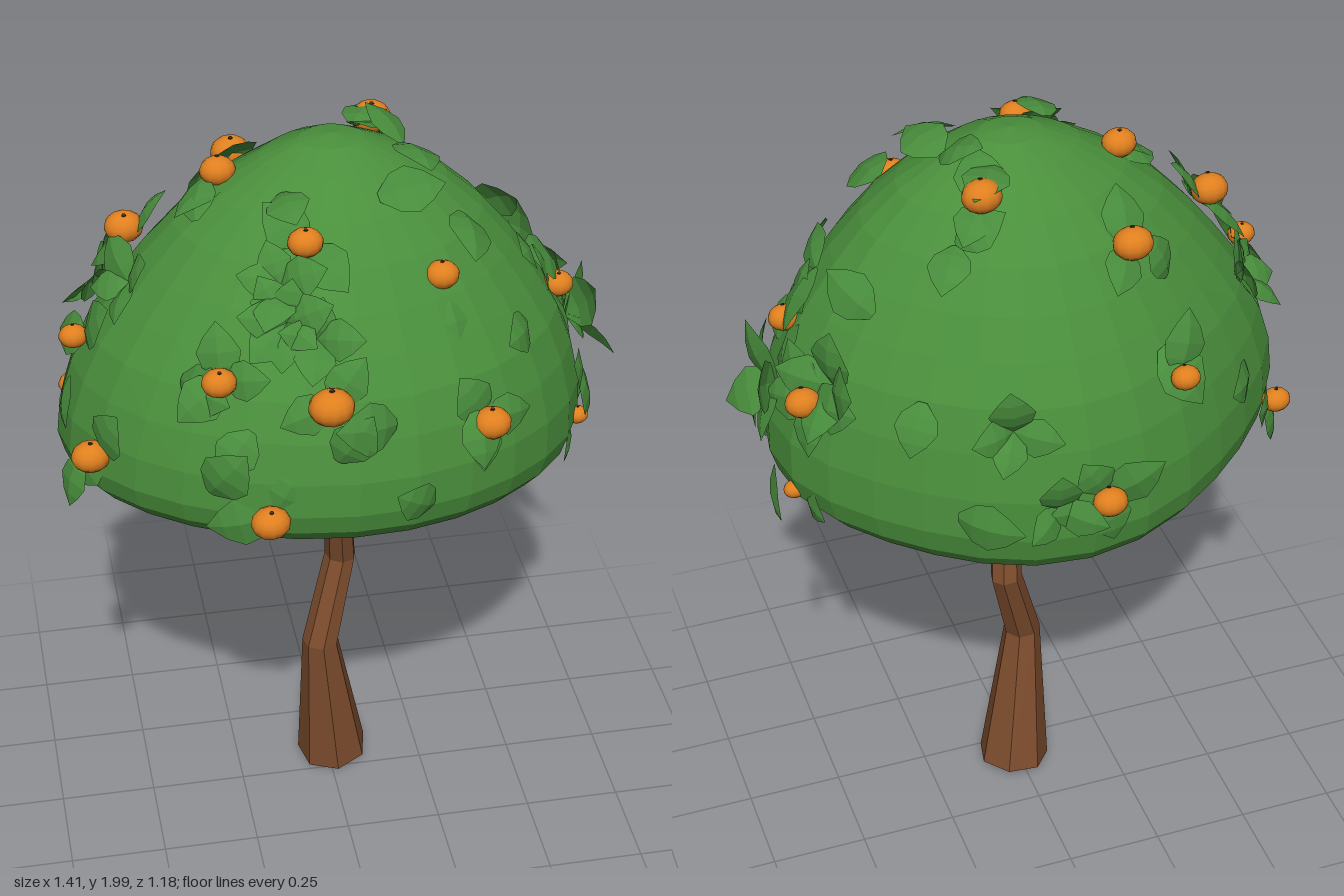
import * as THREE from 'three';

const mat = (name, color, extra = {}) => {
  const m = new THREE.MeshStandardMaterial({ color, ...extra });
  m.name = name;
  return m;
};

// Canopy profile: [relative radius, height], from the underside to the crown
const PROFILE = [[0, 1.1], [0.5, 1.085], [0.82, 1.075], [0.92, 1.09], [0.975, 1.13], [1, 1.19], [0.99, 1.29], [0.945, 1.4],
  [0.88, 1.5], [0.79, 1.59], [0.69, 1.68], [0.57, 1.77], [0.43, 1.85], [0.26, 1.92], [0.12, 1.96], [0, 1.97]];

// Stretch the round canopy to an oval, slim its back corners and tilt its underside
function warp(v) {
  const low = 1 - (v.y - 1.1) / 0.87;
  const corner = Math.sin(2 * Math.atan2(v.x, v.z)) ** 2;
  const slim = 1 - (v.z < 0 ? 0.065 : 0.02) * corner;
  v.x = v.x * 0.66 * slim - 0.035 * low;
  v.z *= 0.54 * slim;
  v.y += low * low * (0.115 * v.z - 0.035 * v.x);
  return v;
}

// Point on the canopy: angle in degrees (0 front, 90 left, 180 back) and height
function onCanopy(deg, y) {
  let i = 5;
  while (i < PROFILE.length - 2 && PROFILE[i + 1][1] < y) i++;
  const [r0, y0] = PROFILE[i], [r1, y1] = PROFILE[i + 1];
  const r = THREE.MathUtils.lerp(r0, r1, THREE.MathUtils.clamp((y - y0) / (y1 - y0), 0, 1));
  const a = THREE.MathUtils.degToRad(deg);
  return warp(new THREE.Vector3(r * Math.sin(a), y, r * Math.cos(a)));
}

const outward = (p) => new THREE.Vector3(
  (p.x + 0.02) / 0.44, Math.max(-0.05, p.y - 1.2) / 0.6, p.z / 0.29).normalize();

// Faceted limb through a few points with a radius at each
function limb(points, radii, sides) {
  const pts = points.map((p) => new THREE.Vector3(...p));
  const n = pts.length - 1;
  const up = new THREE.Vector3(0, 1, 0);
  const turns = pts.map((p, i) => new THREE.Quaternion().setFromUnitVectors(up,
    pts[Math.min(i + 1, n)].clone().sub(pts[Math.max(i - 1, 0)]).normalize()));
  const g = new THREE.CylinderGeometry(1, 1, 1, sides, n);
  const pos = g.attributes.position, v = new THREE.Vector3();
  for (let k = 0; k < pos.count; k++) {
    v.fromBufferAttribute(pos, k);
    const i = Math.round((v.y + 0.5) * n);
    v.y = 0;
    v.multiplyScalar(radii[i]).applyQuaternion(turns[i]).add(pts[i]);
    pos.setXYZ(k, v.x, v.y, v.z);
  }
  g.computeVertexNormals();
  return g;
}

// Unit leaf: broad, grows along +z, folded along the midrib and drooping at the tip
function leafGeometry() {
  const g = new THREE.PlaneGeometry(1, 1, 2, 4);
  const pos = g.attributes.position, widths = [0.08, 0.33, 0.4, 0.25, 0];
  for (let k = 0; k < pos.count; k++) {
    const t = pos.getY(k) + 0.5, w = widths[Math.round(t * 4)];
    const x = pos.getX(k) * 2 * w;
    pos.setXYZ(k, x, 0.3 * t - 0.5 * t * t - 0.2 * Math.abs(x), t);
  }
  g.computeVertexNormals();
  return g;
}

export function createModel() {
  const tree = new THREE.Group();
  tree.name = 'fruitTree';
  const bark = mat('bark brown', 0x7c4c2d, { flatShading: true });
  const foliage = mat('canopy green', 0x4a8f3c, { flatShading: true });
  const leafGreen = mat('leaf green', 0x488c3c, { flatShading: true, side: THREE.DoubleSide });
  const peel = mat('fruit orange', 0xe0801f);
  const stemBrown = mat('stem brown', 0x3d3018);

  let seed = 7;
  const rand = (a, b) => {
    seed = (seed * 16807) % 2147483647;
    return a + (b - a) * (seed / 2147483647);
  };
  const add = (parent, name, geo, material) => {
    const m = new THREE.Mesh(geo, material);
    m.name = name;
    parent.add(m);
    return m;
  };

  // Trunk and branches
  add(tree, 'trunk', limb([[0.015, 0.012, -0.076], [-0.025, 0.43, -0.03], [0.039, 0.67, -0.085], [0.018, 0.94, -0.012]],
    [0.096, 0.049, 0.042, 0.036], 7), bark);
  add(tree, 'rightBranch', limb([[0.02, 0.925, -0.01], [-0.11, 0.925, 0.12], [-0.165, 1.01, 0.165], [-0.23, 1.14, 0.21]],
    [0.03, 0.032, 0.028, 0.025], 6), bark);
  add(tree, 'leftBranch', limb([[0.01, 0.915, -0.01], [0.06, 0.97, -0.16], [0.15, 1.12, -0.15]],
    [0.03, 0.028, 0.023], 6), bark);
  add(tree, 'middleBranch', limb([[0.015, 0.9, -0.01], [0.015, 1.14, -0.05]], [0.032, 0.026], 6), bark);

  // Canopy
  const canopy = new THREE.LatheGeometry(PROFILE.map(([r, y]) => new THREE.Vector2(r, y)), 28);
  const pos = canopy.attributes.position, v = new THREE.Vector3();
  for (let k = 0; k < pos.count; k++) {
    warp(v.fromBufferAttribute(pos, k));
    pos.setXYZ(k, v.x, v.y, v.z);
  }
  canopy.computeVertexNormals();
  add(tree, 'canopy', canopy, foliage);

  // Leaf clusters fan out around a point on the canopy
  const leaf = leafGeometry();
  function leafCluster(point, count, size, lift) {
    const group = new THREE.Group();
    group.name = 'leafCluster';
    const n = outward(point);
    const side = new THREE.Vector3(0, 1, 0.01).cross(n).normalize();
    const start = rand(0, 6.28);
    for (let i = 0; i < count; i++) {
      const dir = side.clone().applyAxisAngle(n, start + (i + rand(-0.2, 0.2)) * 6.283 / count);
      const x = n.clone().cross(dir).normalize();
      const a = lift * rand(0.6, 1.4);
      const z = dir.multiplyScalar(Math.cos(a)).addScaledVector(n, Math.sin(a));
      const m = add(group, 'leaf', leaf, leafGreen);
      m.quaternion.setFromRotationMatrix(new THREE.Matrix4().makeBasis(x, z.clone().cross(x), z));
      m.position.copy(point).addScaledVector(n, 0.008);
      m.scale.setScalar(size * rand(0.85, 1.15));
    }
    tree.add(group);
  }

  // Fruit: [x, y, z, radius, leaves]
  const fruits = [
    [-0.27, 1.885, -0.02, 0.044, 1], [-0.11, 1.835, 0.27, 0.043, 2], [0.21, 1.725, 0.285, 0.042, 3],
    [-0.495, 1.735, -0.06, 0.048, 2], [-0.34, 1.58, 0.43, 0.042, 3], [-0.09, 1.525, 0.495, 0.055, 2],
    [0.3, 1.41, 0.455, 0.048, 3], [0.56, 1.525, 0.045, 0.04, 3], [-0.63, 1.285, 0.24, 0.048, 2],
    [-0.24, 1.24, 0.525, 0.048, 2], [0.6, 1.2, 0.15, 0.028, 2], [0.595, 1.115, -0.1, 0.028, 2],
    [-0.64, 1.51, 0.05, 0.036, 2], [-0.63, 1.19, -0.24, 0.038, 2], [-0.28, 1.49, -0.46, 0.037, 1],
    [-0.2, 1.785, -0.3, 0.05, 2], [0.13, 1.91, -0.18, 0.05, 2], [-0.06, 1.245, -0.555, 0.044, 4],
    [0.58, 1.43, -0.18, 0.045, 4]];
  const ball = new THREE.SphereGeometry(1, 12, 9);
  const stem = new THREE.CylinderGeometry(0.12, 0.12, 0.12, 5);
  for (const [x, y, z, r, leaves] of fruits) {
    const fruit = new THREE.Group();
    fruit.name = 'fruit';
    fruit.position.set(x, y, z);
    fruit.rotation.x = rand(-0.1, 0.4);
    fruit.scale.set(r, r * 0.82, r * 0.85);
    add(fruit, 'fruitBody', ball, peel);
    add(fruit, 'fruitStem', stem, stemBrown).position.y = 1;
    tree.add(fruit);
    const base = fruit.position.clone();
    base.addScaledVector(outward(base), -0.038);
    leafCluster(base, leaves, 0.14, 0.28);
  }

  // Dense tufts: [angle, height, leaves, size]
  for (const [deg, y, count, size] of [[-20, 1.67, 7, 0.12], [-11, 1.64, 4, 0.11], [-24, 1.74, 4, 0.12],
    [-110, 1.53, 7, 0.12], [-82, 1.64, 4, 0.12], [93, 1.4, 4, 0.15], [114, 1.48, 4, 0.14],
    [163, 1.46, 4, 0.13], [172, 1.28, 3, 0.12]]) {
    leafCluster(onCanopy(deg, y), count, size, 0.6);
  }

  // Single and paired leaves on the canopy: [angle, height, count]
  for (const [deg, y, count] of [[-24, 1.43, 1], [8, 1.44, 1], [16, 1.2, 1], [75, 1.32, 2], [82, 1.64, 2],
    [118, 1.64, 1], [60, 1.8, 1], [20, 1.88, 1], [140, 1.8, 2], [90, 1.92, 2], [150, 1.93, 1],
    [-40, 1.89, 1], [95, 1.18, 1], [150, 1.25, 1], [140, 1.5, 1], [-140, 1.66, 1], [-45, 1.52, 1],
    [-85, 1.38, 1], [-125, 1.35, 1], [-75, 1.8, 1], [-32, 1.25, 1], [28, 1.43, 1],
    [-155, 1.55, 1], [-70, 1.22, 1], [-5, 1.36, 1], [55, 1.55, 1]]) {
    leafCluster(onCanopy(deg, y), count, 0.15, 0.35);
  }
  return tree;
}
